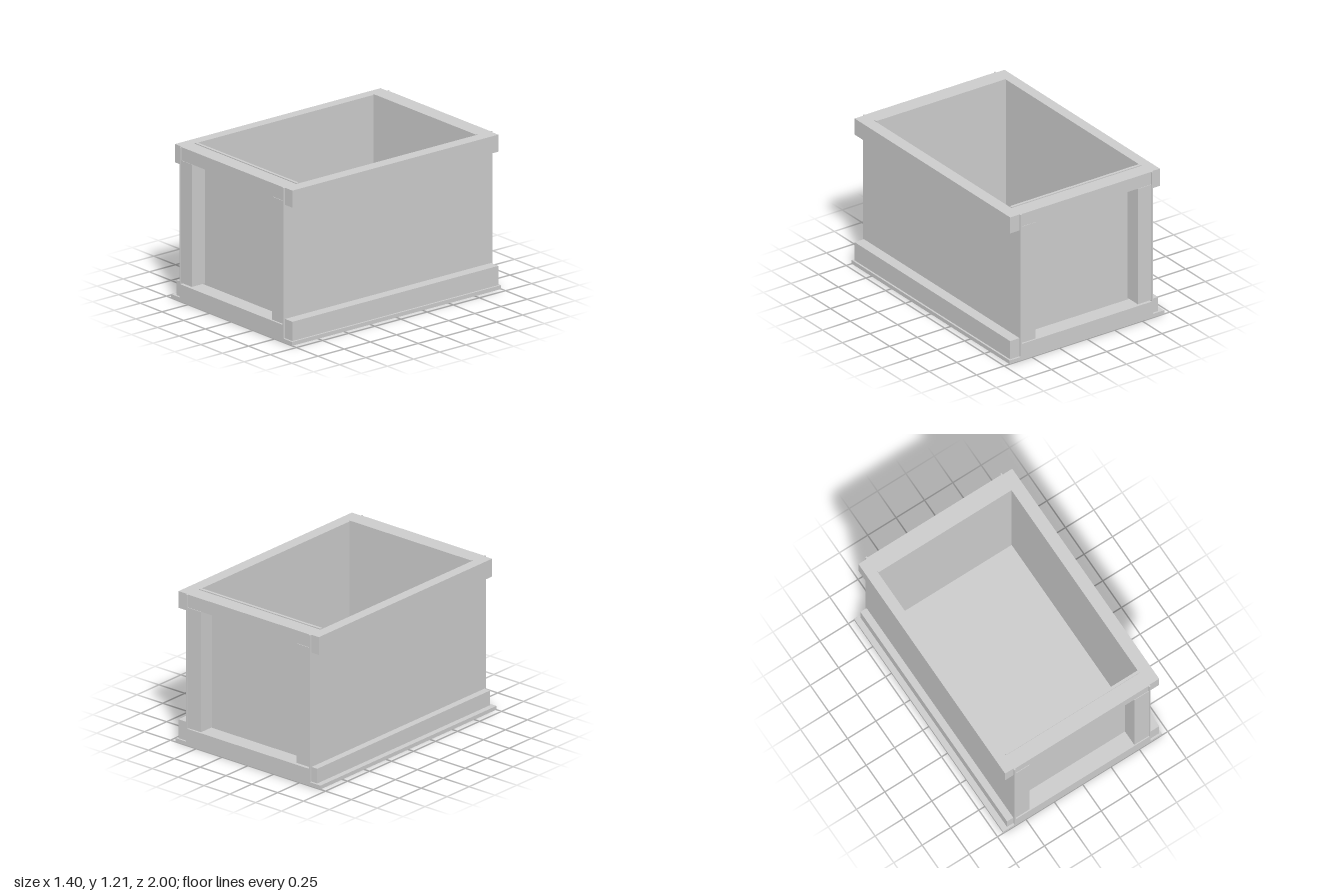
import * as THREE from 'three';

export function createModel() {
  const group = new THREE.Group();
  const material = new THREE.MeshStandardMaterial({ color: 0xcccccc, flatShading: true });

  // Board given by its extents along each axis
  function board(name, [x0, x1], [y0, y1], [z0, z1]) {
    const mesh = new THREE.Mesh(new THREE.BoxGeometry(x1 - x0, y1 - y0, z1 - z0), material);
    mesh.name = name;
    mesh.position.set((x0 + x1) / 2, (y0 + y1) / 2, (z0 + z1) / 2);
    group.add(mesh);
  }
  const span = (sign, a, b) => (sign > 0 ? [a, b] : [-b, -a]);

  // Floor, wider than the walls
  board('basePlate', [-0.7, 0.7], [0, 0.03], [-1, 1]);

  // Long side walls
  for (const s of [1, -1]) {
    board(s > 0 ? 'leftWall' : 'rightWall', span(s, 0.588, 0.6), [0.03, 1.203], [-1, 1]);
  }

  // Rails along the outside of the walls, slightly uneven in size
  board('leftUpperRail', [0.6, 0.685], [1.07, 1.203], [-0.985, 0.985]);
  board('leftLowerRail', [0.6, 0.685], [0.03, 0.18], [-0.985, 0.985]);
  board('rightUpperRail', [-0.672, -0.6], [1.06, 1.203], [-0.983, 0.983]);
  board('rightLowerRail', [-0.655, -0.6], [0.03, 0.147], [-0.983, 0.983]);

  // Recessed end panels, each with a surrounding frame
  for (const s of [1, -1]) {
    const end = s > 0 ? 'front' : 'back';
    board(end + 'Panel', [-0.588, 0.588], [0.03, 1.21], span(s, 0.845, 0.867));
    board(end + 'TopRail', [-0.588, 0.588], [1.1, 1.203], span(s, 0.867, 0.99));
    board(end + 'BottomRail', [-0.588, 0.588], [0.03, 0.135], span(s, 0.867, 1));
    board(end + 'LeftStile', [0.46, 0.588], [0.14, 1.1], span(s, 0.867, 0.994));
    board(end + 'RightStile', [-0.588, -0.464], [0.147, 1.1], span(s, 0.867, 0.994));
  }
  return group;
}
